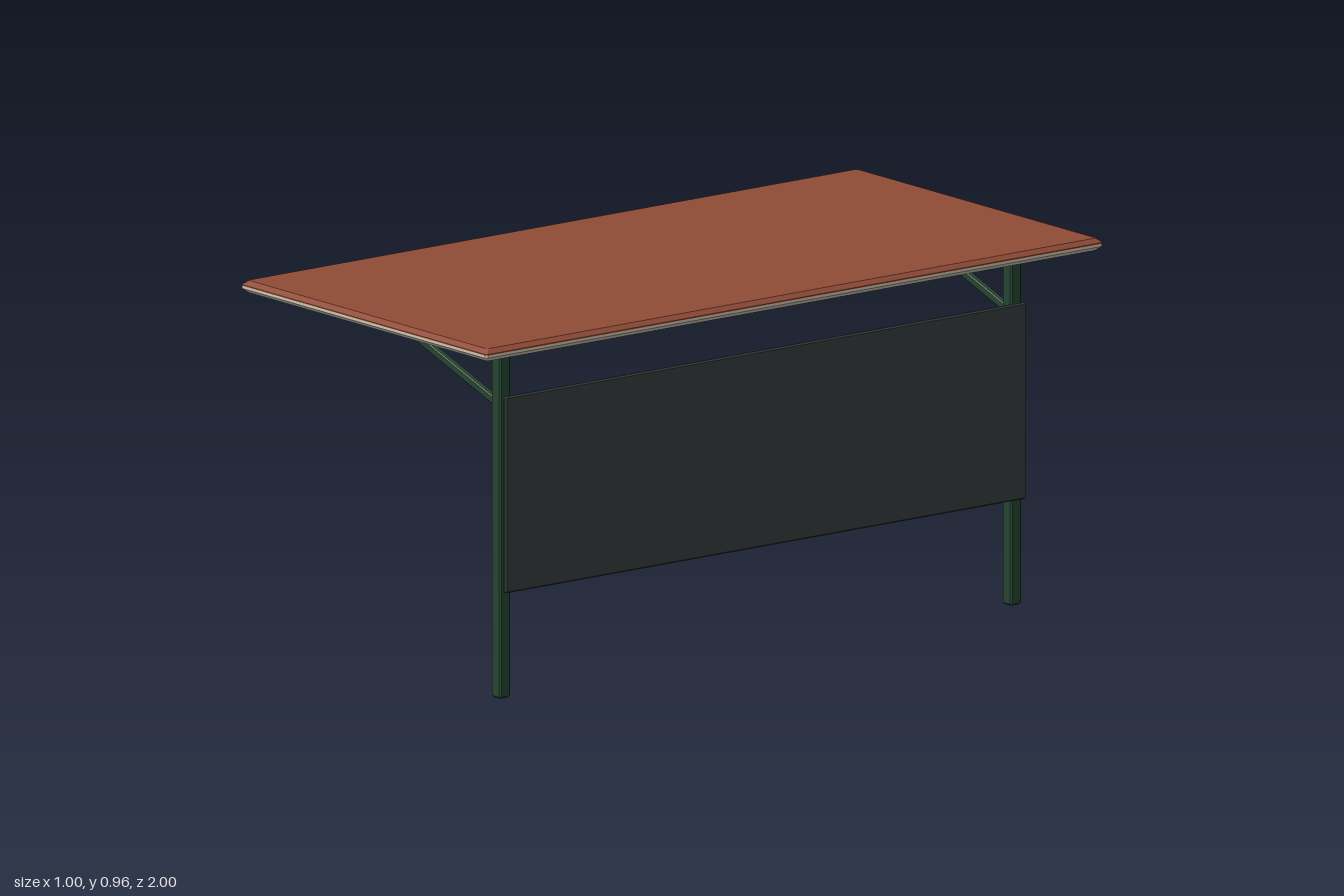
import * as THREE from 'three';

const mat = (name, color, extra = {}) =>
  Object.assign(new THREE.MeshStandardMaterial({ color, ...extra }), { name });

// Flat-faced solid through rectangular rings [halfX, halfZ, y] with corners cut by c.
function loft(rings, c) {
  const loops = rings.map(([x, z, y]) => [
    [x, z - c], [x, c - z], [x - c, -z], [c - x, -z],
    [-x, c - z], [-x, z - c], [c - x, z], [x - c, z],
  ].map(([px, pz]) => [px, y, pz]));
  const pos = [];
  const tri = (...pts) => pts.forEach((p) => pos.push(...p));
  for (let r = 0; r < loops.length - 1; r++) {
    const lo = loops[r], hi = loops[r + 1];
    for (let i = 0; i < 8; i++) {
      const j = (i + 1) % 8;
      tri(lo[i], lo[j], hi[j]);
      tri(lo[i], hi[j], hi[i]);
    }
  }
  const bottom = loops[0], top = loops[loops.length - 1];
  for (let i = 1; i < 7; i++) {
    tri(bottom[0], bottom[i + 1], bottom[i]);
    tri(top[0], top[i], top[i + 1]);
  }
  const g = new THREE.BufferGeometry();
  g.setAttribute('position', new THREE.Float32BufferAttribute(pos, 3));
  g.computeVertexNormals();
  return g;
}

// Centred box with every edge chamfered by b.
function chamferBox(w, h, d, b) {
  const x = w / 2, y = h / 2, z = d / 2;
  return loft([[x - b, z - b, -y], [x, z, b - y], [x, z, y - b], [x - b, z - b, y]], b);
}

export function createModel() {
  const red = mat('terracotta', 0x8f4b36);
  const cream = mat('cream', 0xcfc5b0);
  const green = mat('dark green', 0x24452f);
  const slate = mat('slate', 0x363c3e);

  const model = new THREE.Group();
  model.name = 'table';
  const add = (name, geometry, material, x = 0, y = 0, z = 0) => {
    const mesh = new THREE.Mesh(geometry, material);
    mesh.name = name;
    mesh.position.set(x, y, z);
    model.add(mesh);
    return mesh;
  };

  // Two-layer top with bevelled rims
  add('topSurface', loft([[0.5, 1, 0.943], [0.5, 1, 0.946], [0.487, 0.987, 0.957]], 0.005), red);
  add('topUnderside', loft([[0.487, 0.987, 0.925], [0.5, 1, 0.936], [0.5, 1, 0.943]], 0.005), cream);

  // Legs and their slanting braces at both ends
  const inner = new THREE.Vector2(-0.1, 0.914), outer = new THREE.Vector2(0.344, 0.762);
  const span = inner.clone().sub(outer);
  for (const side of [1, -1]) {
    const end = side > 0 ? 'front' : 'back';
    add(`${end}Leg`, chamferBox(0.038, 0.898, 0.036, 0.005), green, 0.344, 0.449, side * 0.828);
    const mid = inner.clone().add(outer).multiplyScalar(0.5);
    const brace = add(`${end}Brace`, chamferBox(0.021, span.length(), 0.018, 0.003), green,
      mid.x, mid.y, side * 0.828);
    brace.rotation.z = span.angle() - Math.PI / 2;
  }

  // Large privacy panel on one long side, short apron on the other
  add('modestyPanel', chamferBox(0.012, 0.512, 1.69, 0.004), slate, 0.378, 0.535, 0);
  add('apron', chamferBox(0.02, 0.143, 0.654, 0.005), green, -0.38, 0.823, 0);

  // Small round disc set on edge under the top
  const profile = [[0, -0.009], [0.036, -0.009], [0.042, -0.004], [0.042, 0.004], [0.036, 0.009], [0, 0.009]];
  const discGeometry = new THREE.LatheGeometry(
    profile.map(([r, h]) => new THREE.Vector2(r, h)), 24).toNonIndexed();
  discGeometry.computeVertexNormals();
  const disc = add('disc', discGeometry, cream, -0.035, 0.904, 0);
  disc.rotation.x = Math.PI / 2;

  return model;
}
